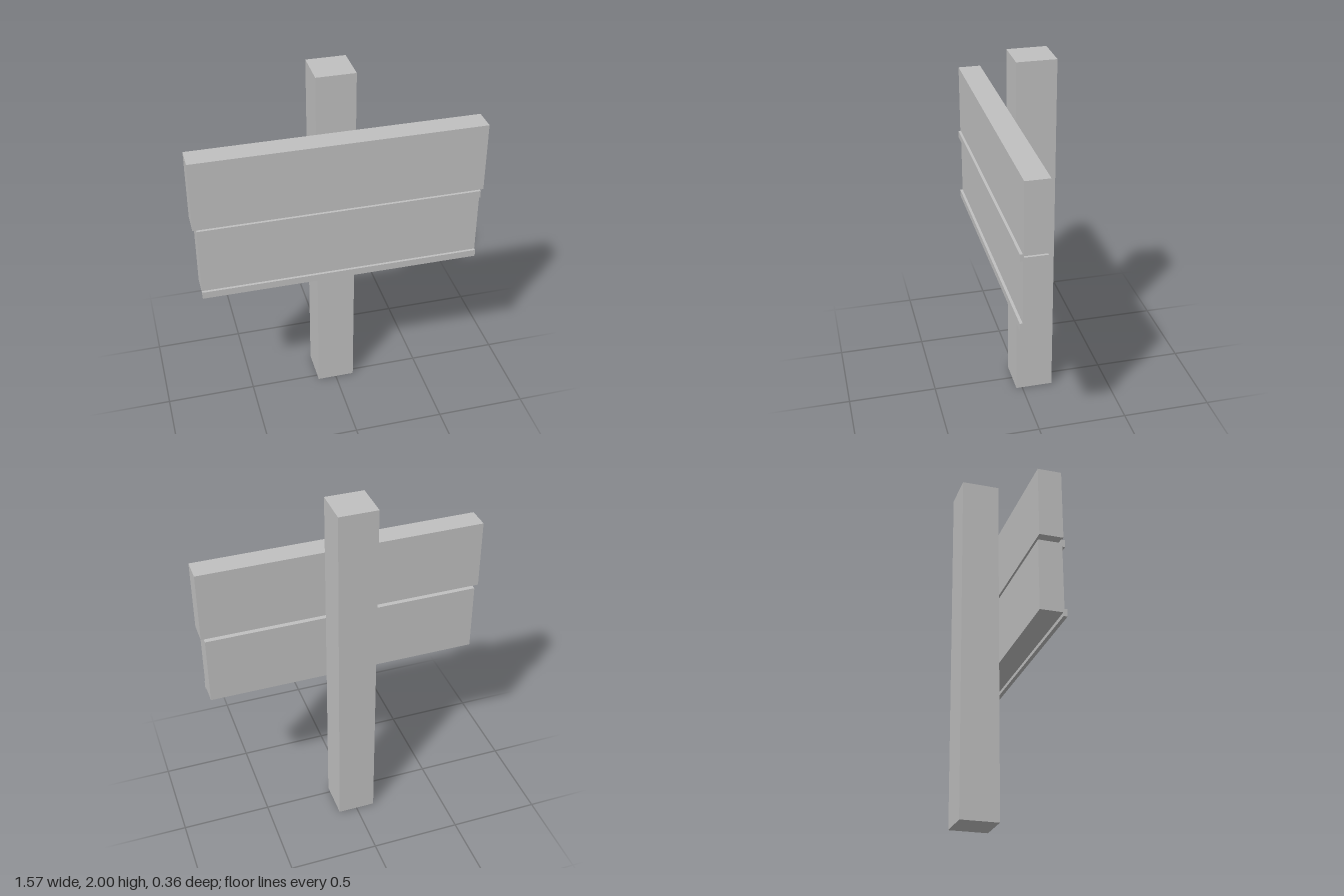
import * as THREE from 'three';

export function createModel() {
  const group = new THREE.Group();
  const grey = new THREE.MeshStandardMaterial({ color: 0xc0c0c0 });
  grey.name = 'plain grey';

  // Adds a box given by its half width and its y and z ranges
  const addBox = (name, halfWidth, y0, y1, z0, z1) => {
    const mesh = new THREE.Mesh(new THREE.BoxGeometry(halfWidth * 2, y1 - y0, z1 - z0), grey);
    mesh.position.set(0, (y0 + y1) / 2, (z0 + z1) / 2);
    mesh.name = name;
    group.add(mesh);
  };

  // Post and the two boards fixed to its front
  addBox('post', 0.106, 0, 2, -0.178, 0.035);
  addBox('upperBoard', 0.786, 1.29, 1.68, 0.035, 0.163);
  addBox('lowerBoard', 0.766, 0.88, 1.27, 0.035, 0.163);

  // Trim strips lapping the top and bottom edges of the lower board
  addBox('upperTrim', 0.766, 1.25, 1.29, 0.157, 0.178);
  addBox('lowerTrim', 0.766, 0.86, 0.9, 0.157, 0.178);

  // Arrow on the upper board, pointing to its -x end
  const outline = [
    [-0.265, 1.485], [-0.073, 1.38], [-0.073, 1.445], [0.245, 1.445],
    [0.245, 1.525], [-0.073, 1.525], [-0.073, 1.59],
  ].map(([x, y]) => new THREE.Vector2(x, y));
  const arrow = new THREE.Mesh(new THREE.ShapeGeometry(new THREE.Shape(outline)), grey);
  arrow.position.z = 0.164;
  arrow.name = 'arrow';
  group.add(arrow);

  return group;
}
